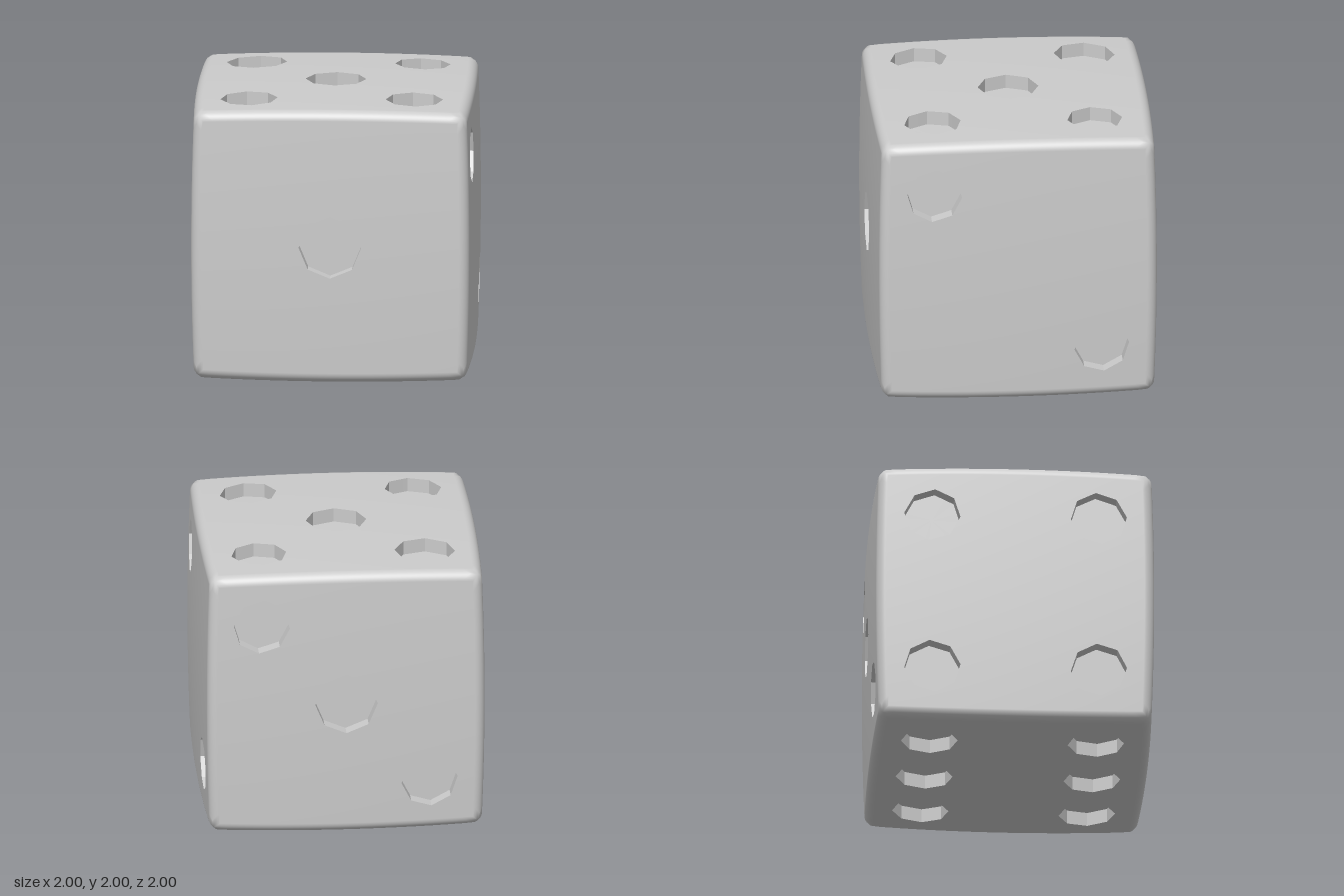
import * as THREE from 'three';

const EDGE = 0.07;    // edge rounding
const BULGE = 0.02;   // swelling of each face
const DEPTH = 0.1;    // pip depth
const FIT = 1.025;    // undoes the sideways shrink caused by the bulge
const SIDE = 8;       // samples along one cell side

// Faces: axes u, v, w (u x v = w) and pips [u, v, radius, turn in degrees]
const FACES = [
  { name: 'frontFace', u: [1, 0, 0], v: [0, 1, 0], pips: [[0, 0, 0.22, 0]] },
  { name: 'leftFace', u: [0, 0, -1], v: [0, 1, 0], pips: [[-0.595, 0.595, 0.195, -5], [0.59, -0.59, 0.195, 6]] },
  { name: 'backFace', u: [-1, 0, 0], v: [0, 1, 0],
    pips: [[-0.6, 0.6, 0.2, -5], [0, 0, 0.22, 0], [0.59, -0.6, 0.2, 5]] },
  { name: 'rightFace', u: [0, 0, 1], v: [0, 1, 0],
    pips: [[-0.59, 0.59, 0.2, -5], [0.59, 0.59, 0.2, 5], [-0.59, -0.59, 0.2, 5], [0.59, -0.59, 0.2, 5]] },
  { name: 'topFace', u: [1, 0, 0], v: [0, 0, -1],
    pips: [[-0.585, 0.585, 0.215, -4], [0.59, 0.57, 0.197, 6], [0, 0, 0.214, 0], [-0.59, -0.59, 0.203, 6], [0.58, -0.58, 0.203, 6]] },
  { name: 'bottomFace', u: [1, 0, 0], v: [0, 0, 1],
    pips: [-0.59, 0, 0.59].flatMap((x) => [[x, -0.59, 0.2, 5], [x, 0.59, 0.2, 5]]) },
];

// Cube point -> rounded, slightly swollen cube standing on y = 0
function swell(p) {
  const k = 1 - EDGE;
  const c = p.clone().clamp(new THREE.Vector3(-k, -k, -k), new THREE.Vector3(k, k, k));
  const q = p.clone().sub(c).setLength(EDGE).add(c);
  const { x, y, z } = q;
  return new THREE.Vector3(
    x * (1 - BULGE * (y * y + z * z)),
    y * (1 - BULGE * (x * x + z * z)) + 1,
    z * (1 - BULGE * (x * x + y * y)));
}

// Square outline, counter-clockwise from the middle of its +u side
function squareLoop(cu, cv, half, n) {
  const corners = [[1, -1], [1, 1], [-1, 1], [-1, -1]];
  const pts = [];
  for (let i = 0; i < 4 * n; i++) {
    const j = (i + n / 2) % (4 * n), s = Math.floor(j / n), t = (j % n) / n;
    const a = corners[s], b = corners[(s + 1) % 4];
    pts.push([cu + half * (a[0] + (b[0] - a[0]) * t), cv + half * (a[1] + (b[1] - a[1]) * t)]);
  }
  return pts;
}

// Octagon outline with the same number of samples as a cell
function octagonLoop([cu, cv, radius, turn]) {
  const per = SIDE / 2, pts = [];
  const corner = (k) => {
    const a = k * Math.PI / 4 + turn * Math.PI / 180;
    return [FIT * (cu + radius * Math.cos(a)), FIT * (cv + radius * Math.sin(a))];
  };
  for (let i = 0; i < 4 * SIDE; i++) {
    const k = Math.floor(i / per), t = (i % per) / per, a = corner(k), b = corner(k + 1);
    pts.push([a[0] + (b[0] - a[0]) * t, a[1] + (b[1] - a[1]) * t]);
  }
  return pts;
}

function buildFace(face, material) {
  const group = new THREE.Group();
  group.name = face.name;
  const U = new THREE.Vector3(...face.u), V = new THREE.Vector3(...face.v);
  const W = U.clone().cross(V);
  const at = (u, v) => swell(W.clone().addScaledVector(U, u).addScaledVector(V, v));
  const normalAt = (u, v) => {
    const e = 1e-4;
    const du = at(u + e, v).sub(at(u - e, v)), dv = at(u, v + e).sub(at(u, v - e));
    return du.cross(dv).normalize();
  };

  // Skin: strips between an inner and an outer loop
  const pos = [], nor = [], idx = [];
  const loft = (inner, outer, rings) => {
    const n = inner.length, base = pos.length / 3;
    for (let r = 0; r <= rings; r++) {
      for (let i = 0; i < n; i++) {
        const t = r / rings;
        const u = inner[i][0] + (outer[i][0] - inner[i][0]) * t;
        const v = inner[i][1] + (outer[i][1] - inner[i][1]) * t;
        pos.push(...at(u, v).toArray());
        nor.push(...normalAt(u, v).toArray());
        if (r === rings) continue;
        const a = base + r * n + i, b = base + r * n + (i + 1) % n;
        idx.push(a, a + n, b + n, a, b + n, b);
      }
    }
  };

  // Nine cells, each with or without a pip opening
  const flat = 1 - EDGE, half = flat / 3;
  for (const i of [-1, 0, 1]) {
    for (const j of [-1, 0, 1]) {
      const cu = 2 * half * i, cv = 2 * half * j;
      const pip = face.pips.find((p) => Math.abs(p[0] - cu) < half && Math.abs(p[1] - cv) < half);
      loft(octagonLoop(pip || [cu / FIT, cv / FIT, 0, 0]), squareLoop(cu, cv, half, SIDE), 4);
    }
  }
  // Rounded border
  loft(squareLoop(0, 0, flat, 3 * SIDE), squareLoop(0, 0, 1, 3 * SIDE), 5);

  const skin = new THREE.BufferGeometry();
  skin.setAttribute('position', new THREE.Float32BufferAttribute(pos, 3));
  skin.setAttribute('normal', new THREE.Float32BufferAttribute(nor, 3));
  skin.setIndex(idx);
  const skinMesh = new THREE.Mesh(skin, material);
  skinMesh.name = 'faceSkin';
  group.add(skinMesh);

  // Pip recesses: straight walls and a flat floor
  for (const pip of face.pips) {
    const rim = octagonLoop(pip).map(([u, v]) => at(u, v));
    const floor = rim.map((p) => p.clone().addScaledVector(W, -DEPTH));
    const mid = floor.reduce((s, p) => s.add(p), new THREE.Vector3()).divideScalar(floor.length);
    const tris = [];
    rim.forEach((a, i) => {
      const j = (i + 1) % rim.length;
      tris.push(a, rim[j], floor[j], a, floor[j], floor[i], mid, floor[i], floor[j]);
    });
    const geometry = new THREE.BufferGeometry().setFromPoints(tris);
    geometry.computeVertexNormals();
    const mesh = new THREE.Mesh(geometry, material);
    mesh.name = 'pip';
    group.add(mesh);
  }
  return group;
}

export function createModel() {
  const model = new THREE.Group();
  model.name = 'die';
  const material = new THREE.MeshStandardMaterial({ color: 0xcccccc });
  for (const face of FACES) model.add(buildFace(face, material));
  return model;
}
